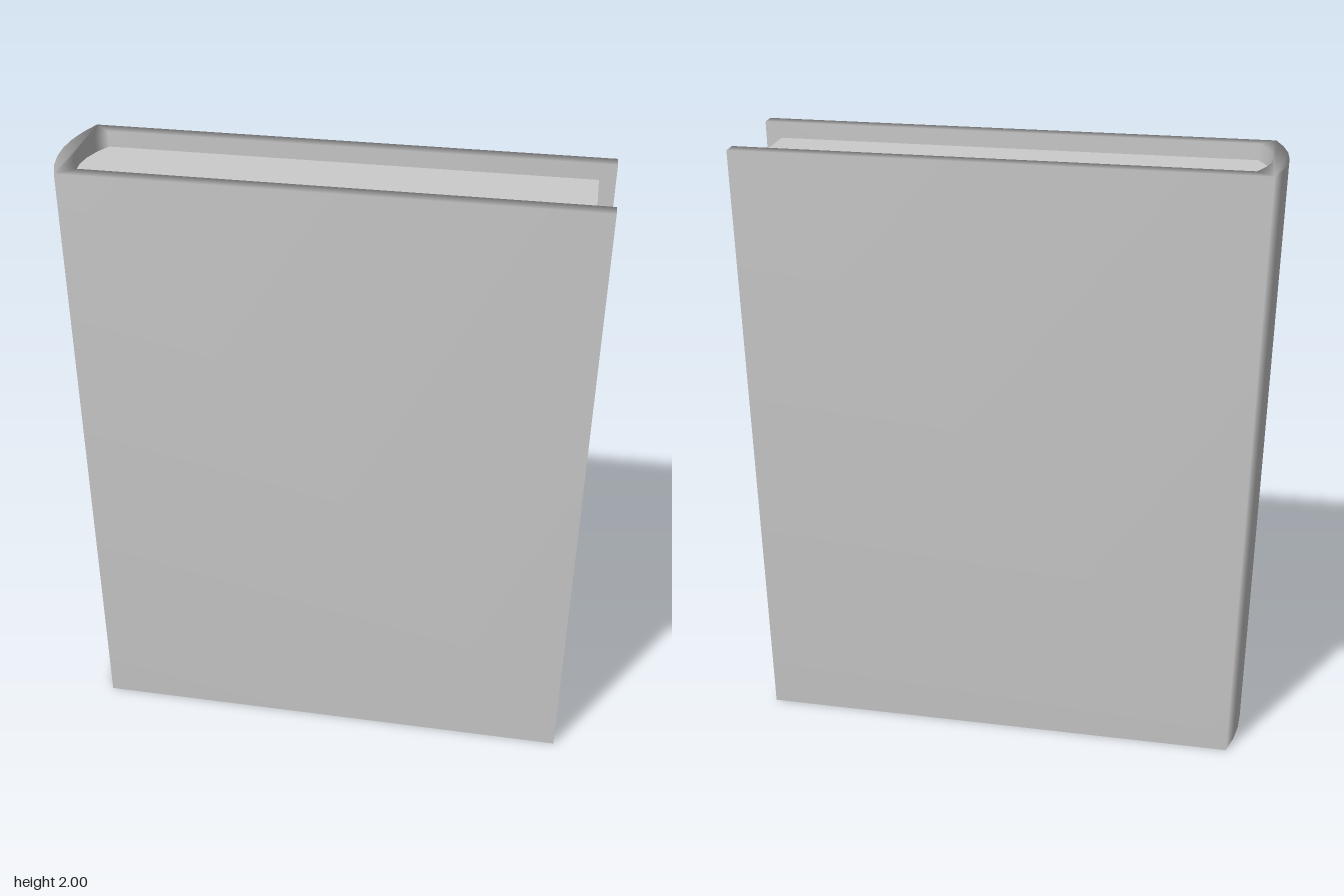
import * as THREE from 'three';
import { mergeVertices } from 'three/addons/utils/BufferGeometryUtils.js';

const SPINE_STEPS = 6;

// Shallow arc across the spine, from +z to -z, as plan points (x, z)
function spineArc(edgeX, midX, halfZ) {
  return new THREE.QuadraticBezierCurve(
    new THREE.Vector2(edgeX, halfZ),
    new THREE.Vector2(2 * midX - edgeX, 0),
    new THREE.Vector2(edgeX, -halfZ)
  ).getPoints(SPINE_STEPS);
}

// Stand a plan outline up between two heights
function standing(points, y0, y1) {
  const geometry = new THREE.ExtrudeGeometry(new THREE.Shape(points), { depth: y1 - y0, bevelEnabled: false });
  return geometry.rotateX(-Math.PI / 2).translate(0, y0, 0);
}

// Share the corners so shading flows over the whole surface
function smooth(geometry) {
  geometry.deleteAttribute('normal');
  geometry.deleteAttribute('uv');
  const merged = mergeVertices(geometry);
  merged.computeVertexNormals();
  return merged;
}

export function createModel() {
  const book = new THREE.Group();
  book.name = 'book';
  const add = (name, geometry) => {
    const mesh = new THREE.Mesh(geometry, new THREE.MeshStandardMaterial({ color: 0xcccccc }));
    mesh.name = name;
    book.add(mesh);
  };

  const outer = spineArc(-0.78, -0.82, 0.2);
  const inner = spineArc(-0.73, -0.775, 0.152);
  const v = (x, z) => new THREE.Vector2(x, z);

  // Cover: two boards joined by the rounded spine
  add('cover', smooth(standing([
    v(0.82, 0.152), v(0.82, 0.2), ...outer,
    v(0.82, -0.2), v(0.82, -0.152), ...inner.slice().reverse(),
  ], 0, 2)));

  // Page block, set back from the cover's edges
  add('pages', standing([v(0.77, 0.152), ...inner, v(0.77, -0.152)], 0.05, 1.95));

  return book;
}
